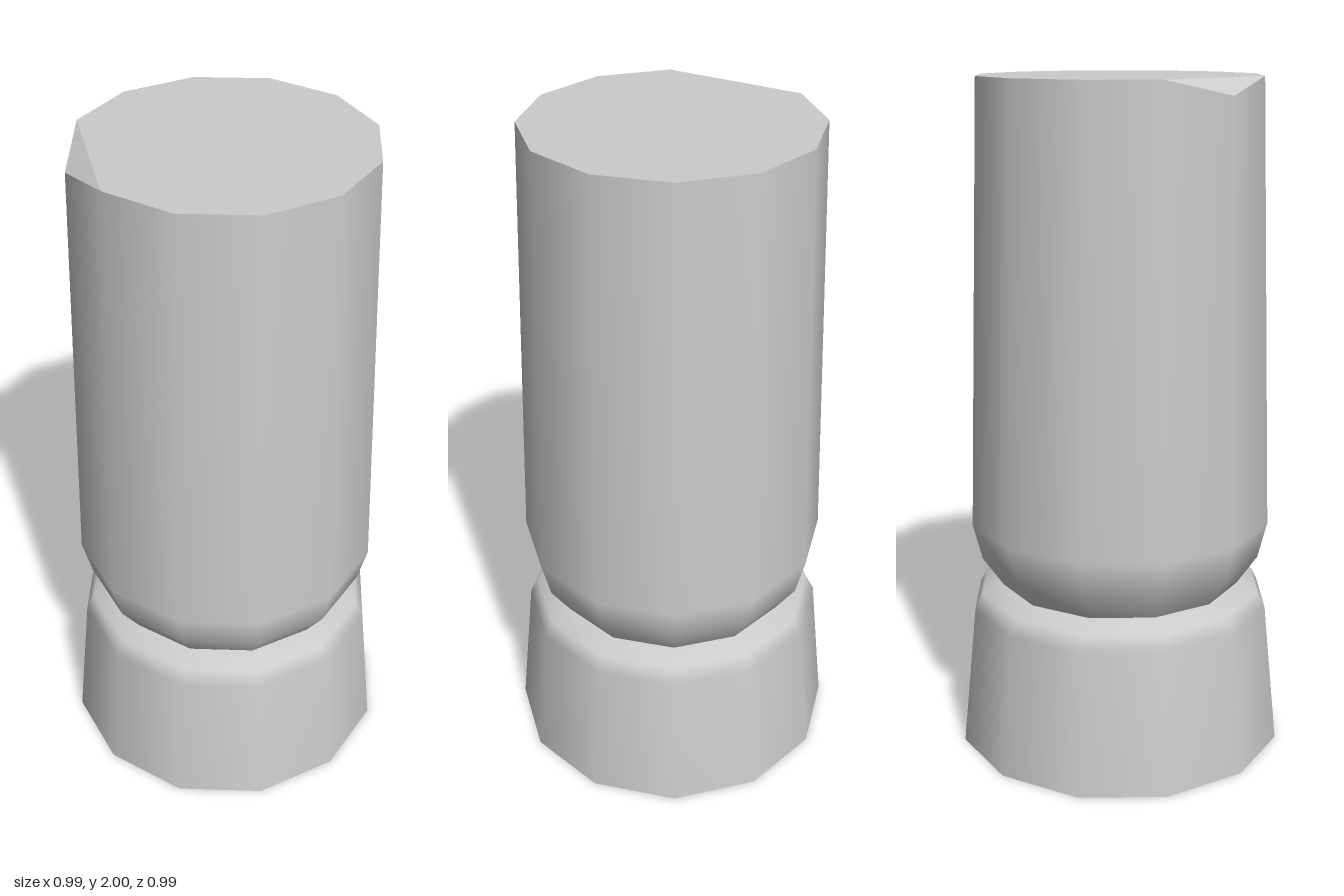
import * as THREE from 'three';

const SIDES = 12;
const CHIP = 10; // index of the lowered rim corner
const TOP = { r: 0.413, y: 2 };
const CHIP_POINT = { r: 0.42, y: 1.955 };

// Point on the twelve-sided ring, counted from +z towards +x
function ringPoint(i, r, y) {
  const a = (i / SIDES) * Math.PI * 2;
  return new THREE.Vector3(Math.sin(a) * r, y, Math.cos(a) * r);
}

function lathe(profile) {
  return new THREE.LatheGeometry(profile.map(([r, y]) => new THREE.Vector2(r, y)), SIDES);
}

export function createModel() {
  const group = new THREE.Group();
  const material = new THREE.MeshStandardMaterial({ color: 0xcccccc });
  const add = (name, geometry) => {
    const mesh = new THREE.Mesh(geometry, material);
    mesh.name = name;
    group.add(mesh);
    return mesh;
  };

  // Tapered foot with a rounded shoulder
  add('base', lathe([[0.497, 0], [0.454, 0.43], [0.43, 0.477], [0.365, 0.5]]));
  add('baseUnderside', new THREE.CircleGeometry(0.497, SIDES).rotateX(Math.PI / 2));

  // Tall upper column with one corner of its rim pushed down
  const profile = [[0.365, 0.5], [0.427, 0.59], [0.455, 0.7], [TOP.r, TOP.y]];
  const column = lathe(profile);
  const chip = ringPoint(CHIP, CHIP_POINT.r, CHIP_POINT.y);
  column.attributes.position.setXYZ((CHIP + 1) * profile.length - 1, chip.x, chip.y, chip.z);
  add('column', column);

  // Flat top, missing the chipped corner
  const rim = [];
  for (let i = 0; i < SIDES; i++) {
    if (i === CHIP) continue;
    const p = ringPoint(i, TOP.r, TOP.y);
    rim.push(new THREE.Vector2(p.x, -p.z));
  }
  const top = new THREE.ShapeGeometry(new THREE.Shape(rim)).rotateX(-Math.PI / 2);
  add('top', top.translate(0, TOP.y, 0));

  // Sloping facet of the chipped corner
  const facet = new THREE.BufferGeometry().setFromPoints([
    ringPoint(CHIP - 1, TOP.r, TOP.y), chip, ringPoint(CHIP + 1, TOP.r, TOP.y),
  ]);
  facet.computeVertexNormals();
  add('chippedCorner', facet);

  return group;
}
